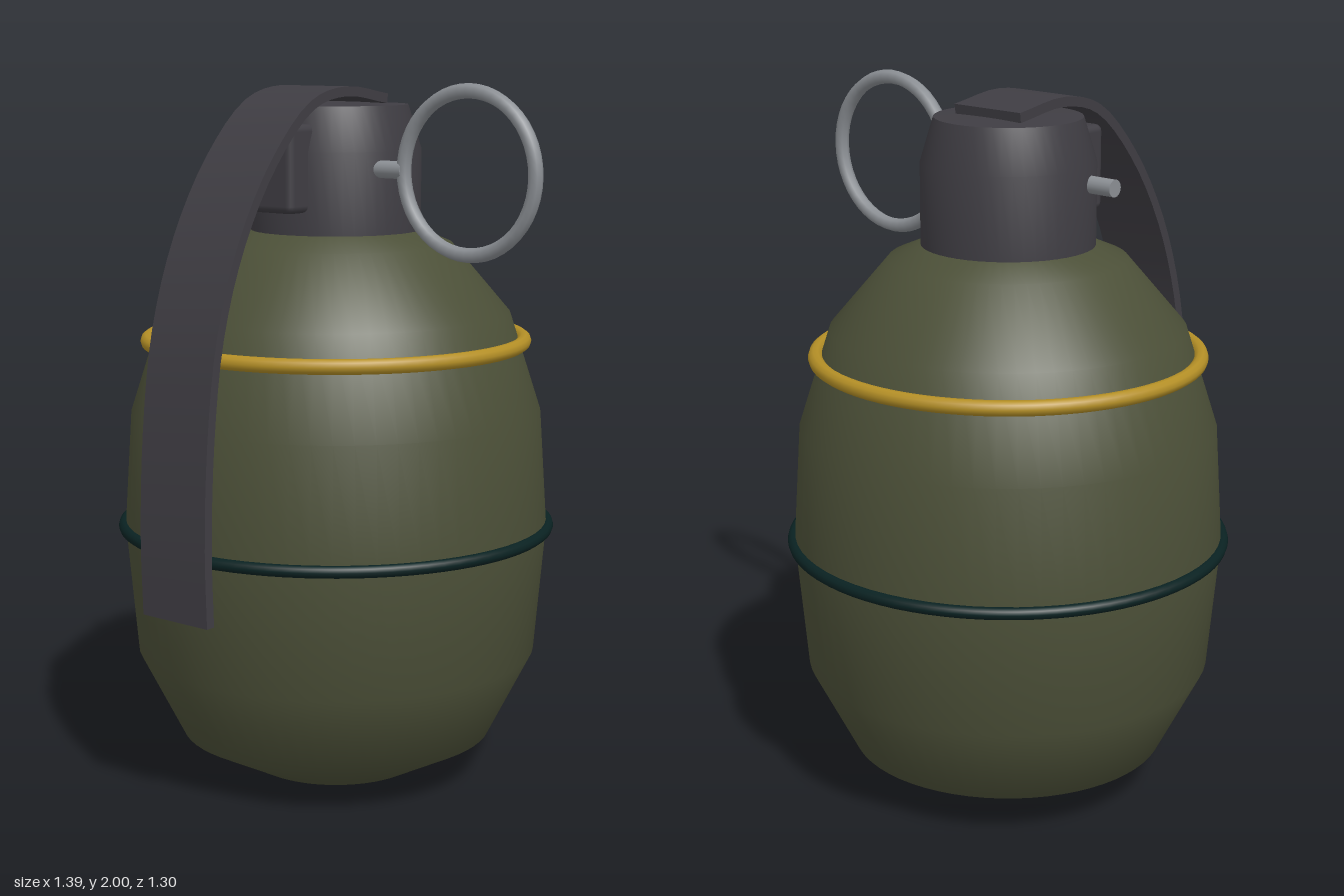
import * as THREE from 'three';
import { toCreasedNormals } from 'three/addons/utils/BufferGeometryUtils.js';
import { RoundedBoxGeometry } from 'three/addons/geometries/RoundedBoxGeometry.js';

const material = (name, color) => {
  const m = new THREE.MeshStandardMaterial({ color });
  m.name = name;
  return m;
};

const lathe = (profile, segments) =>
  new THREE.LatheGeometry(profile.map(([r, y]) => new THREE.Vector2(r, y)), segments);

export function createModel() {
  const olive = material('olive', 0x4c5038);
  const yellow = material('yellow', 0xb48f26);
  const darkGreen = material('dark green', 0x0a2222);
  const gunmetal = material('gunmetal', 0x3f3d43);
  const steel = material('steel', 0x8b8f94);

  const model = new THREE.Group();
  const CX = -0.068, CZ = -0.024; // axis of the body
  const add = (name, geometry, mat, x = CX, y = 0, z = CZ) => {
    const mesh = new THREE.Mesh(geometry, mat);
    mesh.name = name;
    mesh.position.set(x, y, z);
    model.add(mesh);
    return mesh;
  };

  // Egg-shaped body with a smooth faceted profile
  add('body', lathe([
    [0, 0.005], [0.243, 0.02], [0.45, 0.127], [0.576, 0.375], [0.608, 0.742],
    [0.586, 1.075], [0.496, 1.355], [0.33, 1.55], [0.2, 1.605], [0, 1.62],
  ], 64), olive);

  // Painted bands
  const band = (name, radius, tube, y, mat) =>
    add(name, new THREE.TorusGeometry(radius, tube, 10, 80).rotateX(Math.PI / 2), mat, CX, y);
  band('upperBand', 0.536, 0.021, 1.275, yellow);
  band('middleBand', 0.611, 0.017, 0.742, darkGreen);

  // Cap with a tapered top
  add('cap', toCreasedNormals(lathe([
    [0, 1.58], [0.241, 1.58], [0.241, 1.815], [0.204, 1.937], [0, 1.945],
  ], 48), 0.6), gunmetal);
  add('leverMount', new RoundedBoxGeometry(0.18, 0.24, 0.2, 2, 0.02), gunmetal, CX, 1.77, 0.172);

  // Curved lever: a side outline of constant thickness, extruded across its width
  const path = new THREE.CatmullRomCurve3([
    [-0.108, 1.953], [0.07, 1.976], [0.212, 1.942], [0.367, 1.797], [0.498, 1.588],
    [0.583, 1.35], [0.624, 1.08], [0.639, 0.79], [0.634, 0.58],
  ].map(([z, y]) => new THREE.Vector3(z, y, 0)));
  const outer = [], inner = [];
  for (let i = 0; i <= 32; i++) {
    const p = path.getPoint(i / 32), t = path.getTangent(i / 32);
    const side = (s) => new THREE.Vector2(p.x - t.y * s, p.y + t.x * s);
    outer.push(side(0.0135));
    inner.unshift(side(-0.0135));
  }
  const strip = new THREE.ExtrudeGeometry(new THREE.Shape([...outer, ...inner]),
    { depth: 0.238, bevelEnabled: false });
  strip.translate(0, 0, -0.119).rotateY(-Math.PI / 2);
  add('lever', toCreasedNormals(strip, 0.6), gunmetal, CX, 0, 0);

  // Safety pin and pull ring
  add('pin', new THREE.CylinderGeometry(0.024, 0.024, 0.62, 16).rotateZ(Math.PI / 2),
    steel, -0.07, 1.768, 0.053);
  add('pullRing', new THREE.TorusGeometry(0.216, 0.02, 8, 48), steel, 0.454, 1.768, 0.053);

  return model;
}
